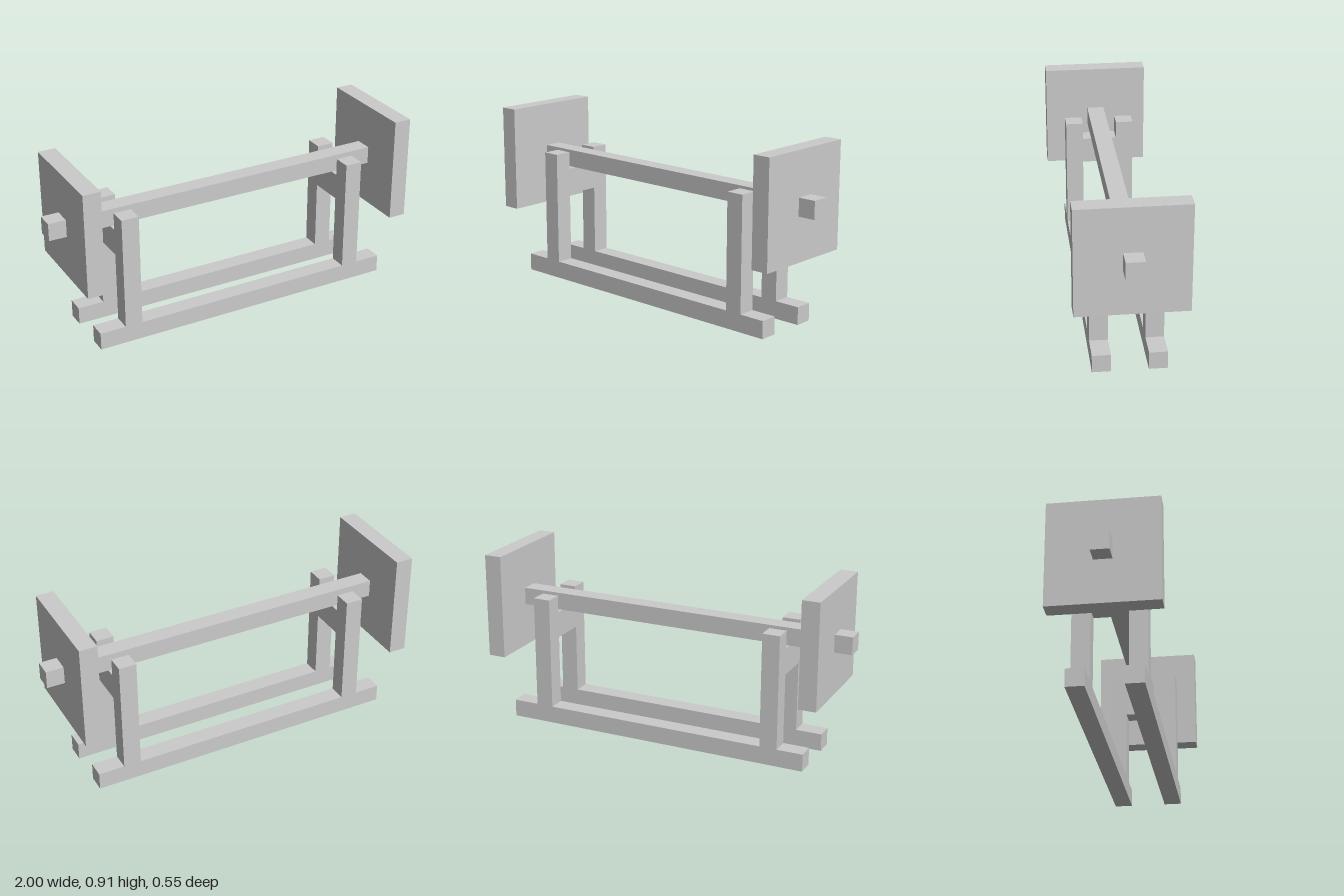
import * as THREE from 'three';

// One beam thickness; every size below is counted in beams
const U = 1 / 11;

export function createModel() {
  const model = new THREE.Group();
  const material = new THREE.MeshStandardMaterial({ color: 0xcccccc, flatShading: true });

  // Box of size w, h, d centred on x and z, with its underside at y
  function block(name, w, h, d, x, y, z) {
    const mesh = new THREE.Mesh(new THREE.BoxGeometry(w * U, h * U, d * U), material);
    mesh.position.set(x * U, (y + h / 2) * U, z * U);
    mesh.name = name;
    model.add(mesh);
  }

  // Long axle running through both end plates
  block('axle', 22, 1, 1, 0, 6.5, 0);

  for (const [side, sx] of [['left', 1], ['right', -1]]) {
    // Square end plate and the crossbar that carries the axle
    block(side + 'EndPlate', 1, 6, 6, sx * 9.5, 4, 0);
    block(side + 'Crossbar', 1, 1.5, 2, sx * 7, 5, 0);

    // Upright posts standing on the rails
    for (const [end, sz] of [['Front', 1], ['Back', -1]]) {
      block(side + end + 'Post', 1, 6.5, 1, sx * 7, 1, sz * 1.5);
    }
  }

  // Base rails
  block('frontRail', 18, 1, 1, 0, 0, 1.5);
  block('backRail', 18, 1, 1, 0, 0, -1.5);

  return model;
}
